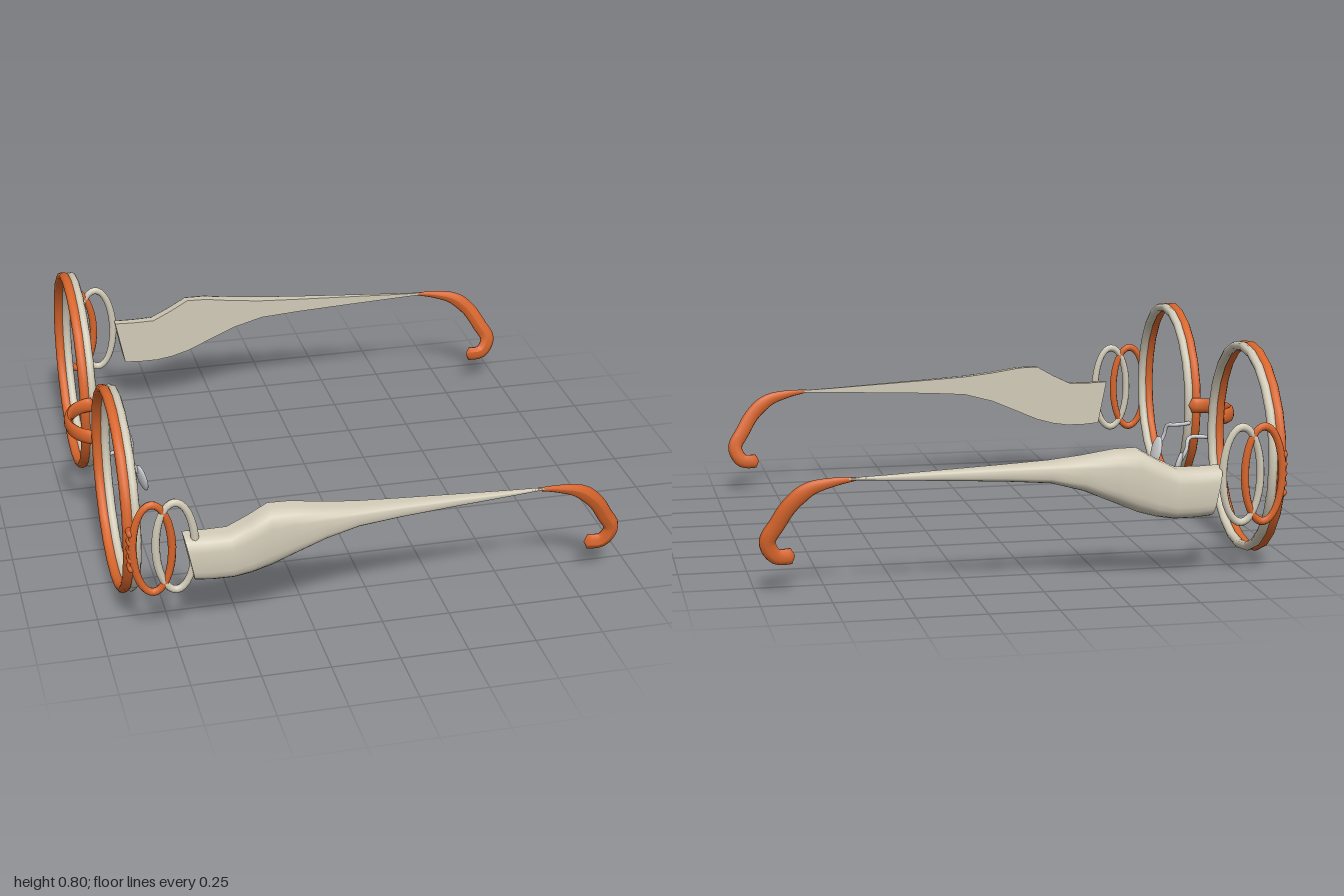
import * as THREE from 'three';

const orange = new THREE.MeshStandardMaterial({ color: 0xd9662c });
orange.name = 'orange enamel';
const cream = new THREE.MeshStandardMaterial({ color: 0xd2cbb8 });
cream.name = 'cream enamel';
const silver = new THREE.MeshStandardMaterial({ color: 0xcdcdd0 });
silver.name = 'silver pad';

const V = (x, y, z) => new THREE.Vector3(x, y, z);

function add(parent, name, geometry, material, x = 0, y = 0, z = 0) {
  const mesh = new THREE.Mesh(geometry, material);
  mesh.name = name;
  mesh.position.set(x, y, z);
  parent.add(mesh);
  return mesh;
}

// Lens rim: a torus turned to face along x, with its depth set separately
function rim(radius, tube, depth) {
  const g = new THREE.TorusGeometry(radius - tube, tube, 8, 24);
  g.scale(1, 1, depth / tube);
  g.rotateY(Math.PI / 2);
  return g;
}

// Tube whose thickness varies along the path and is scaled per axis
function shapedTube(points, radius, steps, sides, taper, scale) {
  const path = new THREE.CatmullRomCurve3(points);
  const g = new THREE.TubeGeometry(path, steps, radius, sides);
  const pos = g.attributes.position, v = new THREE.Vector3();
  for (let i = 0; i <= steps; i++) {
    const centre = path.getPointAt(i / steps);
    for (let j = 0; j <= sides; j++) {
      const k = i * (sides + 1) + j;
      v.fromBufferAttribute(pos, k).sub(centre).multiply(scale).multiplyScalar(taper(i / steps)).add(centre);
      pos.setXYZ(k, v.x, v.y, v.z);
    }
  }
  g.computeVertexNormals();
  return g;
}

// Temple arm sections: x, top, bottom, outer z
const ARM = [
  [-0.69, 0.42, 0.24, 0.975], [-0.62, 0.417, 0.235, 0.98], [-0.54, 0.418, 0.235, 0.983],
  [-0.47, 0.455, 0.245, 0.985], [-0.40, 0.495, 0.265, 0.986], [-0.32, 0.493, 0.30, 0.987],
  [-0.20, 0.475, 0.352, 0.985], [-0.08, 0.462, 0.385, 0.975], [0.08, 0.453, 0.396, 0.956],
  [0.30, 0.442, 0.406, 0.935], [0.50, 0.432, 0.414, 0.918], [0.63, 0.427, 0.419, 0.905]
];

// Arm loft: flat inner face, rounded outer face, slanted front end
function armGeometry(s) {
  const K = 12, m = K + 3, inner = 0.897;
  const pos = [], idx = [];
  const tri = (a, b, c) => idx.push(a, ...(s > 0 ? [b, c] : [c, b]));
  const soft = (t) => Math.sign(t) * Math.abs(t) ** 0.6;
  const ring = ([x, top, bottom, outer], n) => {
    const mid = (top + bottom) / 2, h = (top - bottom) / 2;
    const slant = 0.018 * Math.max(0, 1 - n / 3);
    for (let j = 0; j < m; j++) {
      const a = j <= K ? (j / K) * Math.PI : j === K + 1 ? Math.PI : 0;
      const c = soft(Math.cos(a)), d = a === Math.PI ? 0 : soft(Math.sin(a));
      pos.push(x - slant * c, mid + h * c, s * (inner + (outer - inner) * d));
    }
  };
  ARM.forEach(ring);
  for (let i = 0; i < ARM.length - 1; i++) {
    for (let j = 0; j < m - 1; j++) {
      if (j === K) continue;
      const a = i * m + j;
      tri(a, a + 1, a + m);
      tri(a + 1, a + m + 1, a + m);
    }
  }
  // Front cap
  const cap = pos.length / 3;
  ring(ARM[0], 0);
  for (let j = 1; j < K; j++) tri(cap, cap + j + 1, cap + j);
  const g = new THREE.BufferGeometry();
  g.setAttribute('position', new THREE.Float32BufferAttribute(pos, 3));
  g.setIndex(idx);
  g.computeVertexNormals();
  return g;
}

function hingeRing() {
  const g = new THREE.TorusGeometry(1, 0.1, 8, 32);
  const pos = g.attributes.position;
  // Oval centreline with an even round wire
  for (let i = 0; i < pos.count; i++) {
    const x = pos.getX(i), y = pos.getY(i), r = Math.hypot(x, y);
    const w = (r - 1) * 0.15;
    pos.setXYZ(i, (x / r) * (0.07 + w), (y / r) * (0.174 + w), pos.getZ(i) * 0.14);
  }
  g.computeVertexNormals();
  return g;
}

function buildSide(s) {
  const side = new THREE.Group();
  side.name = s > 0 ? 'leftSide' : 'rightSide';
  const radius = s > 0 ? 0.382 : 0.398;
  const y = s > 0 ? 0.426 : 0.407;
  const z = s > 0 ? 0.54 : -0.522;
  const shift = s > 0 ? 0 : 0.045;

  // Double rim
  add(side, 'frontRim', rim(radius, 0.015, 0.02), orange, -0.898, y, z);
  add(side, 'rearRim', rim(radius - 0.002, 0.017, 0.018), cream, -0.869, y, z);

  // Linked oval hinge rings and the small wraps holding them to the rim
  add(side, 'frontHingeRing', hingeRing(), orange, -0.82, 0.387, s * 0.941);
  add(side, 'rearHingeRing', hingeRing(), cream, -0.738, 0.387, s * 0.941);
  for (let i = 0; i < 5; i++) {
    const wrap = new THREE.CapsuleGeometry(0.015, 0.025, 4, 10);
    wrap.rotateX(Math.PI / 2);
    add(side, 'hingeWrap', wrap, orange, -0.895, 0.315 + i * 0.035, s * 0.925);
  }

  // Temple arm and hooked ear tip
  add(side, 'templeArm', armGeometry(s), cream, shift, 0, 0);
  const tipPath = [
    [0.60, 0.424, 0.901], [0.69, 0.413, 0.897], [0.77, 0.39, 0.89], [0.835, 0.335, 0.88],
    [0.88, 0.265, 0.865], [0.914, 0.20, 0.852], [0.885, 0.146, 0.843], [0.815, 0.143, 0.838]
  ].map((p) => V(p[0], p[1], s * p[2]));
  const taper = (t) => (t === 1 ? 0 : Math.min(1, 0.2 + t * 2.2));
  add(side, 'earTip', shapedTube(tipPath, 0.03, 40, 8, taper, V(1, 1, 0.5)), orange, shift, 0, 0);

  // Nose pad on a bent wire
  const o = s > 0 ? 0.165 : 0.135;
  const wire = [
    [-0.87, 0.366, o + 0.005], [-0.835, 0.366, o - 0.015], [-0.80, 0.366, o - 0.022],
    [-0.775, 0.36, o], [-0.765, 0.32, o + 0.01], [-0.745, 0.28, o + 0.008]
  ].map((p) => V(p[0], p[1], s * p[2]));
  add(side, 'padWire', new THREE.TubeGeometry(new THREE.CatmullRomCurve3(wire), 28, 0.008, 8), silver);
  const pad = new THREE.SphereGeometry(1, 18, 12);
  pad.scale(0.012, 0.06, 0.03);
  const padMesh = add(side, 'nosePad', pad, silver, -0.733, 0.256, s * (o + 0.008));
  padMesh.rotation.set(0, s * 0.45, 0.25);
  return side;
}

export function createModel() {
  const group = new THREE.Group();
  group.name = 'spectacles';

  // Arched bridge
  const arch = [];
  for (let i = 0; i <= 12; i++) {
    const a = (i / 12 - 0.5) * Math.PI * 1.08;
    arch.push(V(-0.875 - 0.11 * Math.cos(a), 0.44, 0.016 + 0.142 * Math.sin(a)));
  }
  add(group, 'bridge', shapedTube(arch, 0.03, 28, 10, (t) => (t === 0 || t === 1 ? 0 : 1), V(0.5, 1, 0.5)), orange);

  group.add(buildSide(1), buildSide(-1));
  return group;
}
